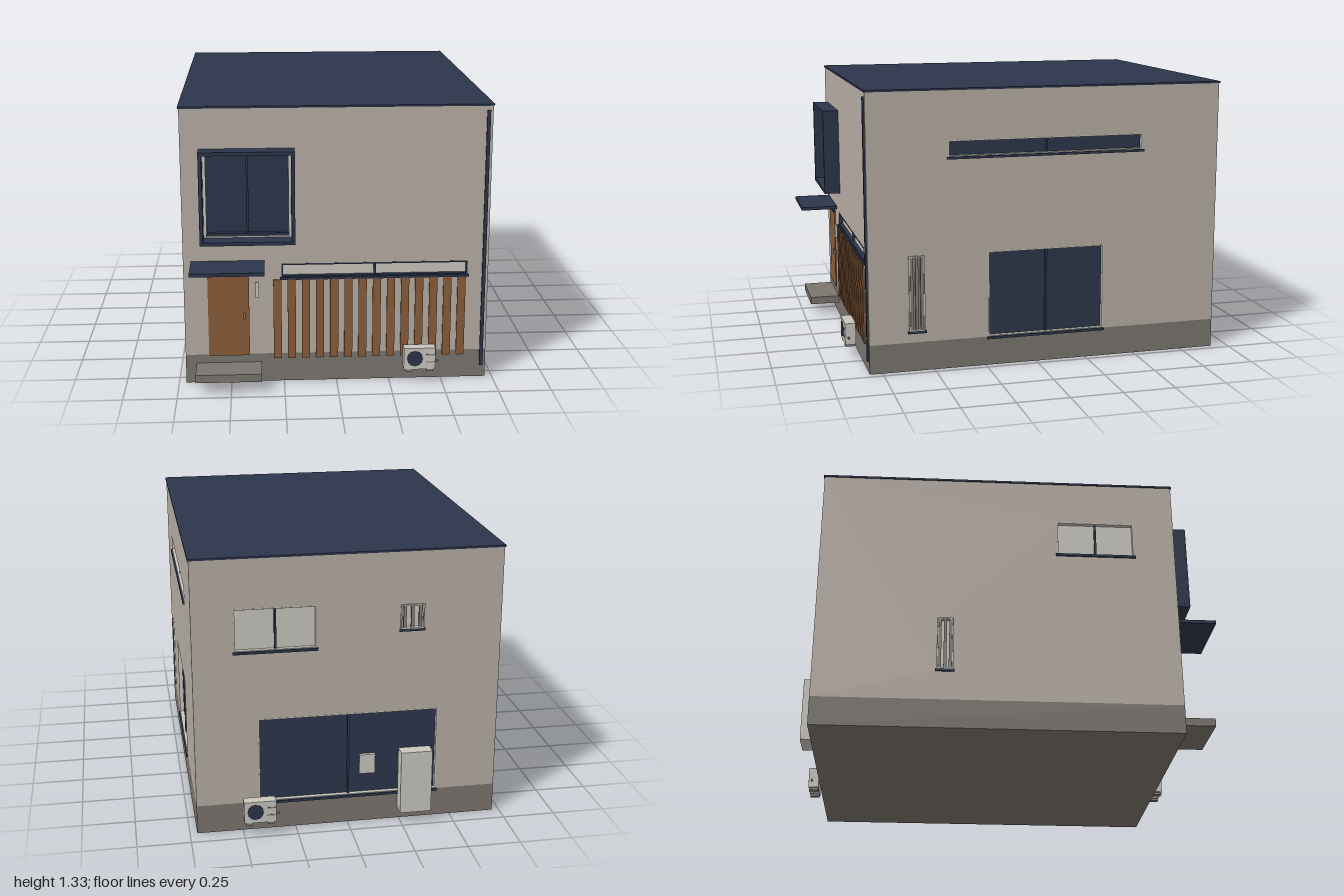
import * as THREE from 'three';

const mat = (name, color) => Object.assign(new THREE.MeshStandardMaterial({ color }), { name });

export function createModel() {
  const wall = mat('wall plaster', 0xb7aea5);
  const plinth = mat('plinth concrete', 0x7b756f);
  const navy = mat('navy metal and glass', 0x2c354b);
  const wood = mat('wood', 0x8a5c38);
  const light = mat('pale frame and casing', 0xc9c6be);
  const grey = mat('grey metal', 0x85807a);

  const house = new THREE.Group();
  house.name = 'house';
  const X = 0.716, ZF = 0.812, ZB = -0.916, BASE = 0.14, TOP = 1.324;

  // box given by its limits on each axis
  function box(parent, name, material, x0, x1, y0, y1, z0, z1) {
    const m = new THREE.Mesh(new THREE.BoxGeometry(x1 - x0, y1 - y0, z1 - z0), material);
    m.position.set((x0 + x1) / 2, (y0 + y1) / 2, (z0 + z1) / 2);
    m.name = name;
    parent.add(m);
    return m;
  }

  function rectangle(Type, x0, x1, y0, y1) {
    return new Type([[x0, y0], [x1, y0], [x1, y1], [x0, y1]].map(p => new THREE.Vector2(...p)));
  }

  function extruded(parent, name, material, shape, z0, z1) {
    const g = new THREE.ExtrudeGeometry(shape, { depth: z1 - z0, bevelEnabled: false });
    const m = new THREE.Mesh(g, material);
    m.position.z = z0;
    m.name = name;
    parent.add(m);
  }

  function ring(parent, name, material, x0, x1, y0, y1, t, z0, z1) {
    const s = rectangle(THREE.Shape, x0, x1, y0, y1);
    s.holes.push(rectangle(THREE.Path, x0 + t, x1 - t, y0 + t, y1 - t));
    extruded(parent, name, material, s, z0, z1);
  }

  // wall in its own frame: x along the wall, z = 0 on its outer face
  function makeWall(name, x0, x1, position, turn, windows) {
    const g = new THREE.Group();
    g.name = name;
    g.position.set(...position);
    g.rotation.y = turn;
    house.add(g);
    const s = rectangle(THREE.Shape, x0, x1, BASE, TOP);
    for (const w of windows) {
      const [a, b, c, d] = w.at;
      s.holes.push(rectangle(THREE.Path, a, b, c, d));
      box(g, 'windowPane', w.pane, a, b, c, d, -0.028, -0.02);
      ring(g, 'windowFrame', w.frame || light, a, b, c, d, w.frameWidth || 0.005, -0.02, 0.001);
      // bars or a centre mullion
      if (w.bars) {
        for (let i = 0; i < w.bars; i++) {
          const x = a + (b - a) * (i + 0.5) / w.bars;
          box(g, 'windowBar', grey, x - 0.007, x + 0.007, c, d, -0.004, 0.006);
        }
        ring(g, 'barFrame', light, a - 0.002, b + 0.002, c, d, 0.006, 0, 0.007);
      } else {
        const x = (a + b) / 2;
        box(g, 'mullion', navy, x - 0.005, x + 0.005, c, d, -0.02, -0.008);
      }
      if (!w.noSill) box(g, 'windowSill', navy, a - 0.007, b + 0.007, c - 0.011, c + 0.001, -0.02, 0.008);
    }
    extruded(g, 'wallPanel', wall, s, -0.03, 0);
    return g;
  }

  // plinth and roof
  box(house, 'plinth', plinth, -X, X, 0, BASE, ZB, ZF);
  box(house, 'roof', navy, -X - 0.005, X + 0.005, TOP, TOP + 0.009, ZB - 0.004, ZF + 0.004);

  // four walls
  const front = makeWall('frontWall', -X, X, [0, 0, ZF], 0, [
    { at: [-0.612, -0.213, 0.724, 1.12], pane: navy, frameWidth: 0.01, noSill: true },
    { at: [-0.258, 0.618, 0.519, 0.586], pane: light, frame: navy, frameWidth: 0.007 },
  ]);
  makeWall('leftWall', -ZF, -ZB, [X, 0, 0], Math.PI / 2, [
    { at: [-0.427, 0.527, 1.016, 1.092], pane: navy },
    { at: [-0.237, 0.337, 0.1401, 0.557], pane: navy },
    { at: [-0.62, -0.547, 0.195, 0.557], pane: grey, bars: 3 },
  ]);
  makeWall('backWall', -X, X, [0, 0, ZB], Math.PI, [
    { at: [-0.525, -0.148, 0.89, 1.092], pane: light },
    { at: [0.24, 0.348, 0.958, 1.075], pane: light, bars: 3 },
    { at: [-0.42, 0.427, 0.1401, 0.557], pane: navy },
  ]);
  makeWall('rightWall', ZB, ZF, [-X, 0, 0], -Math.PI / 2, [
    { at: [0.235, 0.612, 0.925, 1.105], pane: light },
    { at: [-0.34, -0.265, 0.292, 0.557], pane: light, bars: 3 },
  ]);

  // projecting surround of the upper front window
  ring(front, 'windowSurround', navy, -0.632, -0.195, 0.70, 1.138, 0.016, 0, 0.08);
  box(front, 'upperWindowRail', navy, -0.605, -0.22, 0.724, 0.738, -0.02, 0.004);

  // entrance
  box(front, 'door', wood, -0.605, -0.412, 0.135, 0.557, 0, 0.006);
  box(front, 'doorHeader', navy, -0.612, -0.405, 0.556, 0.568, 0, 0.012);
  box(front, 'doorHandle', grey, -0.44, -0.431, 0.318, 0.347, 0.006, 0.014);
  box(front, 'canopy', navy, -0.68, -0.338, 0.588, 0.604, 0, 0.188);
  box(front, 'doorstep', plinth, -0.665, -0.357, 0.06, 0.098, 0, 0.152);
  box(front, 'wallLamp', light, -0.382, -0.366, 0.425, 0.498, 0, 0.01);

  // timber slats
  for (let i = 0; i < 14; i++) {
    const x = -0.298 + i * 0.0669;
    box(front, 'slat', wood, x, x + 0.038, 0.117, 0.509, 0, 0.008);
  }
  box(front, 'downpipe', navy, 0.687, 0.703, 0.06, 1.303, 0, 0.009);

  // outdoor air units
  function airUnit(x, z, turn) {
    const g = new THREE.Group();
    g.name = 'airUnit';
    g.position.set(x, 0, z);
    g.rotation.y = turn;
    house.add(g);
    box(g, 'casing', light, -0.075, 0.075, 0.074, 0.18, -0.026, 0.026);
    for (const s of [-1, 1]) box(g, 'foot', grey, s * 0.05 - 0.015, s * 0.05 + 0.015, 0.062, 0.074, -0.024, 0.024);
    const fan = new THREE.Mesh(new THREE.CylinderGeometry(0.038, 0.038, 0.004, 12), navy);
    fan.rotation.x = Math.PI / 2;
    fan.position.set(-0.022, 0.128, 0.027);
    fan.name = 'fan';
    g.add(fan);
    for (const y of [0.11, 0.147]) box(g, 'vent', grey, 0.03, 0.073, y - 0.003, y + 0.003, 0.026, 0.028);
    box(g, 'pipe', grey, 0.075, 0.093, 0.106, 0.114, 0.006, 0.014);
  }
  airUnit(0.389, 0.864, 0);
  airUnit(0.427, -0.973, Math.PI);

  // boxes on the back wall
  box(house, 'waterHeater', light, -0.392, -0.242, 0.055, 0.366, -0.98, ZB);
  box(house, 'meterBox', light, -0.127, -0.052, 0.254, 0.35, -0.934, ZB);
  return house;
}
